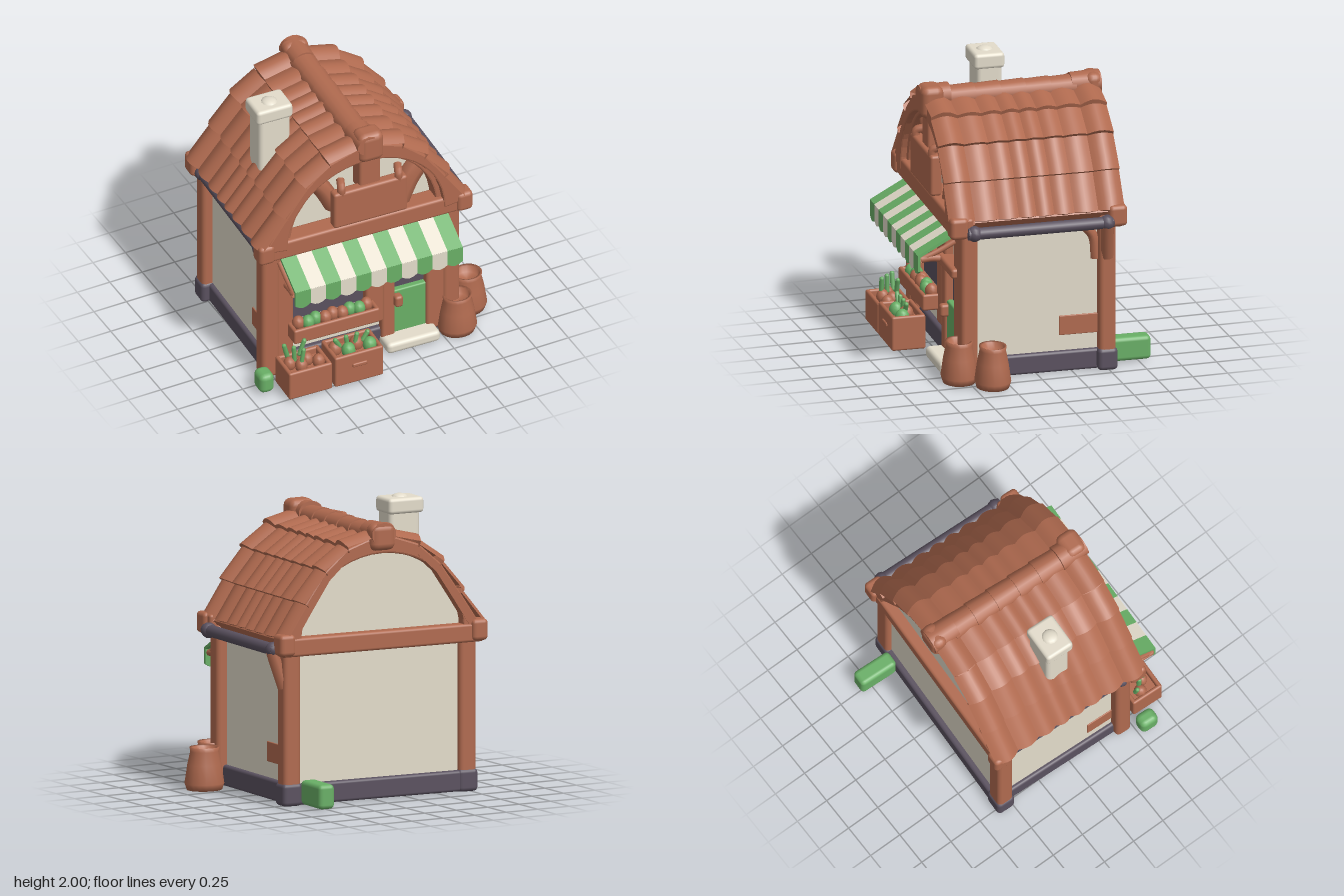
import * as THREE from 'three';
import { toCreasedNormals } from 'three/addons/utils/BufferGeometryUtils.js';
import { RoundedBoxGeometry } from 'three/addons/geometries/RoundedBoxGeometry.js';

const mat = (name, color, side = THREE.FrontSide) => {
  const m = new THREE.MeshStandardMaterial({ color, side });
  m.name = name;
  return m;
};

export function createModel() {
  const clay = mat('terracotta', 0xb06a4f, THREE.DoubleSide);
  const cream = mat('cream', 0xe3dccb, THREE.DoubleSide);
  const green = mat('green', 0x69af66, THREE.DoubleSide);
  const slate = mat('slate', 0x5a515f);

  const model = new THREE.Group();
  model.name = 'shop';
  const house = new THREE.Group();
  house.name = 'house';
  house.rotation.y = -0.045; // the building stands slightly askew
  model.add(house);
  const front = new THREE.Group();
  front.name = 'shopFront';
  front.position.x = 0.025;
  house.add(front);

  const add = (parent, name, geo, m, x = 0, y = 0, z = 0) => {
    const mesh = new THREE.Mesh(geo, m);
    mesh.name = name;
    mesh.position.set(x, y, z);
    parent.add(mesh);
    return mesh;
  };
  // Soft-edged box given by its limits on each axis
  const box = (parent, name, m, x0, x1, y0, y1, z0, z1, r = 0.02) => {
    const w = x1 - x0, h = y1 - y0, d = z1 - z0;
    const geo = new RoundedBoxGeometry(w, h, d, 2, Math.min(r, w / 2.1, h / 2.1, d / 2.1));
    return add(parent, name, geo, m, (x0 + x1) / 2, (y0 + y1) / 2, (z0 + z1) / 2);
  };
  const tube = (parent, name, m, pts, r) => add(parent, name, new THREE.TubeGeometry(
    new THREE.CatmullRomCurve3(pts.map(p => new THREE.Vector3(...p))), 12, r, 8), m);
  const extrude = (pts, depth, bevel = 0) => new THREE.ExtrudeGeometry(
    new THREE.Shape(pts.map(p => new THREE.Vector2(p[0], p[1]))),
    { depth, bevelEnabled: bevel > 0, bevelSize: bevel, bevelThickness: bevel, bevelSegments: 2 });

  const C = -0.07, ZB = -0.635, ZF = 0.61; // ridge x, back and front of the roof
  const profile = [[0.0, 1.835], [0.27, 1.745], [0.44, 1.6], [0.59, 1.39], [0.755, 1.15]];
  const mirrored = (pts) => [...pts.slice(1).reverse().map(([u, y]) => [-u, y]), ...pts];
  const arch = (w, h) => Array.from({ length: 25 }, (_, i) => {
    const a = Math.PI * i / 24;
    return [w * Math.cos(a), 1.13 + h * Math.sin(a)];
  });

  // Walls with gables, plinth
  const gable = mirrored(profile.map(([u, y]) => [u * 0.95, y - 0.05])).filter(p => Math.abs(p[0]) < 0.6);
  add(house, 'walls', extrude([[-0.67, 0.08], [-0.67, 1.18], ...gable, [0.67, 1.18], [0.67, 0.08]], 0.98), cream, C, 0, -0.54);
  box(house, 'plinth', slate, C - 0.7, C + 0.7, 0.005, 0.15, -0.58, 0.48);

  // Corner posts with feet
  for (const s of [-1, 1]) for (const z of [-0.52, 0.46]) {
    const x = C + s * 0.68;
    box(house, 'cornerPost', clay, x - 0.065, x + 0.065, 0.01, 1.12, z - 0.06, z + 0.06, 0.03);
    if (z < 0) box(house, 'postFoot', slate, x - 0.075, x + 0.075, 0.0, 0.16, z - 0.07, z + 0.07, 0.03);
  }
  // Braces and patches on the side walls
  tube(house, 'sideBrace', clay, [[C + 0.72, 0.82, -0.52], [C + 0.755, 0.93, -0.51], [C + 0.8, 1.07, -0.5]], 0.045);
  tube(house, 'wallBrace', clay, [[C + 0.672, 0.8, -0.45], [C + 0.672, 0.96, -0.43], [C + 0.672, 1.06, -0.35]], 0.035);
  box(house, 'wallPatch', clay, C + 0.665, C + 0.678, 0.26, 0.4, -0.48, -0.19, 0.006);
  box(house, 'wallPatch', clay, C - 0.678, C - 0.665, 0.25, 0.4, 0.2, 0.42, 0.006);

  // Cross beams and beam ends
  box(house, 'frontBeam', clay, C - 0.78, C + 0.78, 1.05, 1.19, 0.44, 0.59);
  box(house, 'backBeam', clay, C - 0.78, C + 0.78, 1.04, 1.17, -0.62, -0.52);
  for (const s of [-1, 1]) for (const z of [-0.58, 0.545]) {
    const x = C + s * 0.745;
    box(house, 'beamEnd', clay, x - 0.06, x + 0.06, 1.05, 1.2, z - 0.065, z + 0.065, 0.03);
  }

  // Gutters under both eaves
  for (const s of [-1, 1]) {
    const x = C + s * (s > 0 ? 0.79 : 0.73);
    const g = add(house, 'gutter', new THREE.CylinderGeometry(0.042, 0.042, 1.02, 12), slate, x, 1.085, -0.025);
    g.rotation.x = Math.PI / 2;
    for (const z of [-0.5, 0.44]) add(house, 'gutterEnd', new THREE.SphereGeometry(0.055, 12, 8), slate, x, 1.085, z);
  }

  // Roof shell and bargeboards
  const inner = profile.map(([u, y]) => [u * 0.94, y - 0.05]);
  add(house, 'roofShell', extrude([...mirrored(profile), ...mirrored(inner).reverse()], ZF - ZB - 0.04), clay, C, 0, ZB + 0.02);
  const board = (name, w, h, z, d) =>
    add(house, name, extrude([...mirrored(profile), ...arch(w, h)], d, 0.012), clay, C, 0, z);
  board('frontBargeboard', 0.6, 0.58, 0.51, 0.075);
  board('frontArch', 0.56, 0.56, 0.44, 0.1);
  board('backBargeboard', 0.64, 0.59, -0.6, 0.07);

  // Tile courses: wavy strips that overlap down each slope, with wider tiles at both verges
  const columns = 8;
  for (const s of [-1, 1]) for (let i = 0; i < 4; i++) {
    const [a, b] = [profile[i], profile[i + 1]];
    const du = b[0] - a[0] - (s > 0 && i === 3 ? 0.035 : 0), dy = b[1] - a[1], len = Math.hypot(du, dy);
    const geo = new THREE.PlaneGeometry(1, 1, columns * 8, 4);
    const p = geo.attributes.position;
    for (let j = 0; j < p.count; j++) {
      const t = p.getX(j) + 0.5, k = Math.round((0.5 - p.getY(j)) * 4);
      const q = Math.min(1, k / 3);
      const wave = Math.abs(Math.sin(Math.PI * columns * t));
      const verge = Math.abs(t - 0.5) > 0.5 - 1 / columns ? 0.018 * wave : 0;
      const lift = k === 4 ? -0.01 : 0.008 + 0.025 * q + 0.024 * wave + verge;
      const f = q * (1.01 + 0.03 * wave);
      const along = (t + 0.035 * Math.sin(2 * Math.PI * t)) * (ZF - ZB);
      p.setXYZ(j, s * (a[0] + du * f - dy / len * lift), a[1] + dy * f + du / len * lift,
        s > 0 ? ZF - along : ZB + along);
    }
    add(house, 'tileCourse', toCreasedNormals(geo, 0.7), clay, C);
  }
  // Ridge tiles, with a block closing the back end
  for (let i = 0; i < 7; i++) {
    const d = (ZF - ZB) / 7, end = i === 0 || i === 6;
    const r = add(house, 'ridgeTile', new THREE.CylinderGeometry(0.085, 0.095, d + 0.03, 14), clay, C + 0.01, end ? 1.845 : 1.825, ZB + d * (i + 0.5));
    r.rotation.x = Math.PI / 2;
    r.scale.z = 0.85;
  }
  box(house, 'backRidgeBlock', clay, C - 0.085, C + 0.105, 1.73, 1.92, -0.66, -0.54, 0.05);

  // Chimney
  box(house, 'chimneyShaft', cream, -0.65, -0.415, 1.42, 1.92, -0.065, 0.115, 0.03);
  box(house, 'chimneyCap', cream, -0.675, -0.405, 1.87, 1.98, -0.08, 0.135, 0.025);
  const pot = add(house, 'chimneyPot', new THREE.SphereGeometry(0.06, 12, 8), cream, -0.54, 1.97, 0.03);
  pot.scale.y = 0.5;

  // Gable timbers and hanging sign
  box(front, 'kingPost', clay, -0.14, 0.02, 1.45, 1.8, 0.46, 0.59);
  box(front, 'ridgeBlock', clay, -0.155, 0.035, 1.7, 1.93, 0.47, 0.63, 0.05);
  tube(front, 'gableBrace', clay, [[-0.48, 1.6, 0.46], [-0.37, 1.47, 0.46], [-0.28, 1.3, 0.46]], 0.065);
  tube(front, 'gableBrace', clay, [[0.39, 1.51, 0.46], [0.29, 1.38, 0.46], [0.2, 1.18, 0.46]], 0.08);
  box(front, 'signBoard', clay, -0.345, 0.21, 1.21, 1.5, 0.54, 0.62);
  for (const x of [-0.28, 0.15]) tube(front, 'signHook', clay, [[x, 1.46, 0.59], [x, 1.53, 0.59], [x + 0.02, 1.55, 0.53]], 0.03);

  // Shop window
  box(front, 'windowGlass', slate, -0.62, -0.05, 0.4, 1.05, 0.441, 0.45, 0.003);
  const timber = (name, ...d) => box(front, name, clay, ...d, 0.44, 0.51);
  timber('windowPost', -0.73, -0.6, 0.05, 1.06);
  timber('windowPost', -0.055, 0.08, 0.22, 1.06);
  timber('windowMullion', -0.4, -0.365, 0.66, 1.06);
  timber('windowRail', -0.63, -0.02, 0.635, 0.69);
  timber('windowSill', -0.63, -0.02, 0.29, 0.4);
  box(front, 'shelfShadowGap', slate, -0.41, -0.33, 0.2, 0.3, 0.441, 0.45, 0.003);

  // Door with frame and step
  box(front, 'doorGlass', slate, 0.13, 0.43, 0.42, 0.72, 0.441, 0.45, 0.003);
  box(front, 'doorPanel', green, 0.15, 0.415, 0.08, 0.44, 0.44, 0.492, 0.012);
  timber('doorPost', 0.065, 0.165, 0.04, 1.06);
  timber('doorPost', 0.4, 0.57, 0.04, 1.06);
  box(front, 'doorLintel', clay, 0.07, 0.5, 0.7, 0.77, 0.44, 0.55);
  box(front, 'doorHandle', clay, 0.15, 0.21, 0.33, 0.42, 0.48, 0.55);
  box(front, 'doorStep', cream, 0.06, 0.46, 0.005, 0.09, 0.44, 0.62, 0.03);

  // Striped awning: sloped cloth plus a scalloped valance per stripe
  const sw = 1.26 / 11;
  for (let i = 0; i < 11; i++) {
    const m = i % 2 ? cream : green, x = -0.72 + sw * (i + 0.5);
    const cloth = add(front, 'awningStripe', new THREE.BoxGeometry(sw, 0.02, 0.28), m, x, 0.965, 0.67);
    cloth.rotation.x = 0.5;
    const scallop = [[-sw / 2, 0.905], [-sw / 2, 0.79], [-sw / 4, 0.772], [0, 0.765], [sw / 4, 0.772], [sw / 2, 0.79], [sw / 2, 0.905]];
    add(front, 'awningValance', extrude(scallop, 0.02), m, x, 0, 0.78);
  }
  for (const x of [-0.715, 0.515]) {
    tube(front, 'awningArm', clay, [[x, 0.98, 0.53], [x, 0.92, 0.65], [x, 0.87, 0.775]], 0.02);
    tube(front, 'awningStrut', clay, [[x, 0.87, 0.64], [x, 0.875, 0.7], [x, 0.87, 0.77]], 0.025);
  }

  // Produce shelf and crates with vegetables and leaves
  const tray = (name, x0, x1, y0, y1, z0, z1) => {
    const t = 0.03;
    box(front, name + 'Base', clay, x0, x1, y0, y1 - 0.05, z0, z1);
    for (const [a, b] of [[z0, z0 + t], [z1 - t, z1]]) box(front, name + 'Side', clay, x0, x1, y0, y1, a, b);
    for (const [a, b] of [[x0, x0 + t], [x1 - t, x1]]) box(front, name + 'End', clay, a, b, y0, y1, z0, z1);
  };
  const produce = (x, y, z, r, m) => {
    const v = add(front, 'produce', new THREE.SphereGeometry(r, 10, 8), m, x, y, z);
    v.scale.y = 1.2;
  };
  const leaf = (x, y, z, lean, h) => {
    const l = add(front, 'leaf', new THREE.CapsuleGeometry(0.017, h - 0.034, 3, 6), green, x, y + h / 2, z);
    l.rotation.z = lean;
  };
  tray('shelf', -0.645, 0.0, 0.315, 0.43, 0.48, 0.62);
  for (let i = 0; i < 9; i++) produce(-0.58 + i * 0.064, 0.435, 0.54 + 0.02 * (i % 2), 0.045, [1, 2, 6, 7].includes(i) ? green : clay);
  tray('crate', -0.775, -0.45, 0.02, 0.24, 0.58, 0.82);
  tray('crate', -0.43, -0.065, 0.02, 0.265, 0.58, 0.82);
  for (let i = 0; i < 4; i++) {
    produce(-0.71 + i * 0.065, 0.22, 0.68 + 0.05 * (i % 2), 0.045, clay);
    leaf(-0.72 + i * 0.04, 0.23, 0.64 + 0.05 * (i % 3), 0.25 - 0.2 * i, 0.14);
    produce(-0.37 + i * 0.08, 0.24, 0.68 + 0.05 * (i % 2), 0.05, i % 2 ? green : clay);
    leaf(-0.36 + i * 0.07, 0.25, 0.7, 0.5 - 0.35 * i, 0.1);
  }
  box(front, 'crateHandle', clay, -0.3, -0.19, 0.155, 0.185, 0.81, 0.83, 0.009);

  // Open sacks beside the door
  const sackProfile = [[0, 0.005], [0.125, 0.005], [0.14, 0.05], [0.12, 0.18], [0.1, 0.27], [0.105, 0.3], [0.085, 0.295], [0.075, 0.25], [0, 0.24]]
    .map(p => new THREE.Vector2(...p));
  for (const [x, z] of [[0.645, 0.53], [0.81, 0.335]])
    add(house, 'sack', new THREE.LatheGeometry(sackProfile, 18), clay, x, 0, z).scale.z = 0.9;

  // Clipped hedge blocks at two corners
  box(house, 'backHedge', green, 0.43, 0.55, 0.01, 0.18, -0.86, -0.57, 0.03);
  box(house, 'frontHedge', green, -0.905, -0.795, 0.02, 0.17, 0.55, 0.69, 0.04);

  return model;
}
